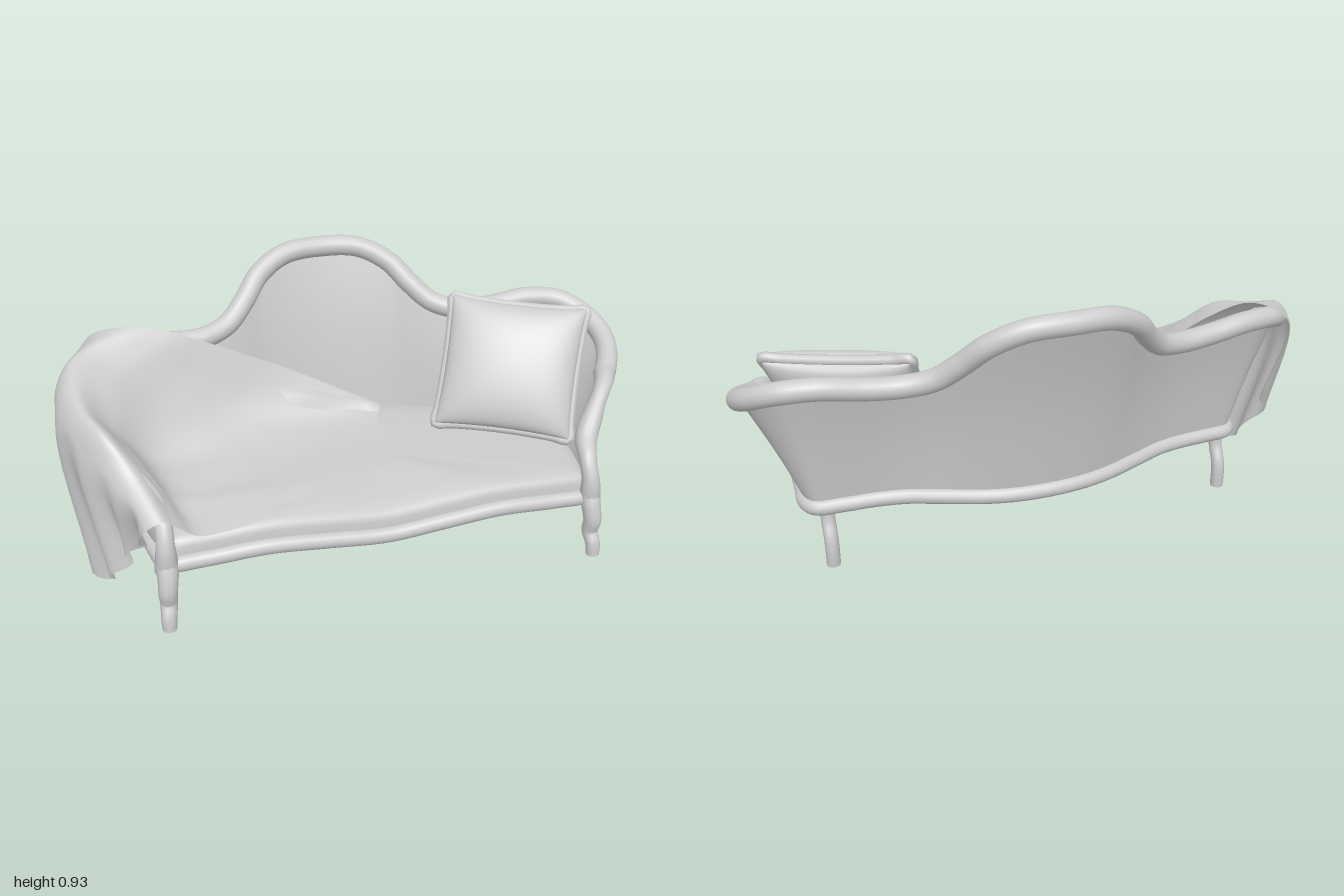
import * as THREE from 'three';
import { ParametricGeometry } from 'three/addons/geometries/ParametricGeometry.js';

const V = (p) => new THREE.Vector3(...p);
const curve = (pts, closed = false) => new THREE.CatmullRomCurve3(pts.map(V), closed, 'centripetal');
const flip = (p) => [-p[0], p[1], p[2]];
// full left-to-right path from a half that starts on the centre line
const mirrored = (half) => [...half.slice(1).reverse().map(flip), ...half];

const solid = new THREE.MeshStandardMaterial({ color: 0xcccccc });
const sheet = new THREE.MeshStandardMaterial({ color: 0xcccccc, side: THREE.DoubleSide });

// Half paths, from the centre of the back round to the arm front
const RAIL = [
  [0, 0.897, -0.45], [0.14, 0.887, -0.434], [0.245, 0.835, -0.39], [0.31, 0.765, -0.337],
  [0.385, 0.7, -0.288], [0.48, 0.675, -0.252], [0.6, 0.68, -0.237], [0.74, 0.7, -0.228],
  [0.86, 0.69, -0.195], [0.935, 0.65, -0.12], [0.96, 0.608, -0.03], [0.945, 0.575, 0.05],
  [0.89, 0.535, 0.15],
];
const POST = [
  [0.86, 0.53, 0.2], [0.8, 0.47, 0.265], [0.745, 0.395, 0.325], [0.727, 0.35, 0.385], [0.728, 0.28, 0.42],
];
const BASE = [
  [0, 0.227, -0.296], [0.13, 0.227, -0.286], [0.23, 0.227, -0.262], [0.3, 0.227, -0.236],
  [0.38, 0.226, -0.204], [0.46, 0.225, -0.172], [0.56, 0.223, -0.15], [0.68, 0.22, -0.138],
  [0.765, 0.218, -0.125], [0.79, 0.217, -0.075], [0.787, 0.217, 0], [0.782, 0.217, 0.1],
  [0.772, 0.217, 0.19], [0.765, 0.217, 0.24], [0.755, 0.217, 0.3], [0.745, 0.217, 0.35],
  [0.738, 0.217, 0.38], [0.725, 0.215, 0.405],
];
const FRONT = [[0.6, 0.217, 0.41], [0.4, 0.225, 0.411], [0.2, 0.209, 0.411]];

function add(parent, name, geometry, material) {
  const mesh = new THREE.Mesh(geometry, material);
  mesh.name = name;
  parent.add(mesh);
}

function surface(fn, nu, nv) {
  const g = new ParametricGeometry(fn, nu, nv);
  g.computeVertexNormals();
  return g;
}

// Tube whose radius follows a function of t; open paths close to a point at both ends
function tube(path, segs, radius, closed = false, sides = 16) {
  const g = new THREE.TubeGeometry(path, segs, 1, sides, closed);
  const pos = g.attributes.position, v = new THREE.Vector3();
  for (let i = 0; i < pos.count; i++) {
    const k = Math.floor(i / (sides + 1));
    const end = !closed && (k === 0 || k === segs);
    const c = path.getPointAt(k / segs);
    v.fromBufferAttribute(pos, i).sub(c).multiplyScalar(end ? 0 : radius(k / segs)).add(c);
    pos.setXYZ(i, v.x, v.y, v.z);
  }
  return g;
}

function buildFrame(sofa) {
  add(sofa, 'topRail', tube(curve(mirrored(RAIL)), 200, () => 0.038), solid);

  // Upholstered back and arm sides, stretched between base and rail
  const top = curve(mirrored([...RAIL, ...POST])), low = curve(mirrored(BASE));
  const a = new THREE.Vector3(), b = new THREE.Vector3();
  add(sofa, 'backAndSides', surface((u, v, out) => {
    low.getPoint(u, a);
    top.getPoint(u, b);
    out.lerpVectors(a, b, v);
    if (out.z < 0) out.z *= 1 - 0.045 * Math.sin(Math.PI * v);
  }, 160, 12), sheet);

  // Base rail all the way round, with a dip in the middle of the front
  const loop = [...mirrored(BASE), ...FRONT, [0, 0.193, 0.411], ...FRONT.map(flip).reverse()];
  const rim = curve(loop, true);
  add(sofa, 'baseRail', tube(rim, 240, () => 0.028, true), solid);

  // Seat and underside: rings of the base outline drawn in towards the centre
  const rings = [[0, 0.195], [0.5, 0.195], [1, 0.195], [1, 0.235], [0.99, 0.27], [0.97, 0.292],
    [0.92, 0.305], [0.75, 0.312], [0.5, 0.316], [0.25, 0.318], [0, 0.318]];
  add(sofa, 'seat', surface((u, v, out) => {
    const [s, y] = rings[Math.round(v * (rings.length - 1))];
    rim.getPoint(u % 1, a);
    const sag = (a.y - 0.217) * s;
    out.set(a.x * s, y + sag, 0.07 + (a.z - 0.07) * s);
  }, 120, rings.length - 1), sheet);
}

function buildSide(sofa, side) {
  const label = side > 0 ? 'left' : 'right';
  const place = (pts) => curve(pts.map((p) => [p[0] * side, p[1], p[2]]));

  // Carved arm front, sweeping down from the arm to the leg
  const post = place([[0.9, 0.54, 0.125], ...POST, [0.73, 0.19, 0.42]]);
  add(sofa, label + 'ArmPost', tube(post, 48, (t) => 0.034 + 0.005 * Math.cos(t * 4 * Math.PI)), solid);

  const front = place([[0.728, 0.235, 0.42], [0.73, 0.19, 0.44], [0.735, 0.14, 0.45],
    [0.735, 0.09, 0.442], [0.74, 0.05, 0.462], [0.742, 0, 0.468]]);
  add(sofa, label + 'FrontLeg', tube(front, 40, (t) => 0.036 - 0.013 * t, false, 10), solid);

  const back = place([[0.73, 0.22, -0.118], [0.73, 0.16, -0.128], [0.73, 0.11, -0.152],
    [0.73, 0.07, -0.16], [0.73, 0, -0.16]]);
  add(sofa, label + 'BackLeg', tube(back, 40, () => 0.024, false, 10), solid);
}

function buildPillow(sofa) {
  const pillow = new THREE.Group();
  pillow.name = 'pillow';
  const centre = V([0.59, 0.535, 0]);
  const along = V([0.215, -0.01, 0.108]), up = V([0.066, 0.2, -0.105]);
  const normal = along.clone().cross(up).normalize();
  const at = (x, y, n, out) => {
    // edges bow inwards so the corners stay pointed
    const px = x * (1 - 0.04 * (1 - y * y)), py = y * (1 - 0.05 * (1 - x * x));
    return out.copy(centre).addScaledVector(along, px).addScaledVector(up, py).addScaledVector(normal, n);
  };
  for (const s of [1, -1]) {
    add(pillow, s > 0 ? 'pillowFront' : 'pillowBack', surface((u, v, out) => {
      const x = Math.sin((u - 0.5) * Math.PI), y = Math.sin((v - 0.5) * Math.PI);
      at(x, y, s * (0.014 + 0.08 * Math.pow(Math.max(0, (1 - x * x) * (1 - y * y)), 0.4)), out);
    }, 28, 28), sheet);
  }
  // Padded band round the edge
  const edge = [];
  for (let k = 0; k < 4; k++) {
    for (let i = 0; i < 8; i++) {
      const t = i / 4 - 1;
      const [x, y] = [[t, -1], [1, t], [-t, 1], [-1, -t]][k];
      edge.push(at(x, y, 0, new THREE.Vector3()).toArray());
    }
  }
  add(pillow, 'pillowEdge', tube(curve(edge, true), 128, () => 0.018, true, 8), solid);
  sofa.add(pillow);
}

// Smooth sheet through a few cross-section curves, with an optional ripple rule
function drape(sections, nu, nv, ripple) {
  const across = sections.map((s) => curve(s));
  const lines = [];
  for (let i = 0; i <= nu; i++) {
    lines.push(new THREE.CatmullRomCurve3(across.map((s) => s.getPoint(i / nu)), false, 'centripetal'));
  }
  return surface((u, v, out) => {
    lines[THREE.MathUtils.clamp(Math.round(u * nu), 0, nu)].getPoint(v, out);
    ripple(u, v, out);
  }, nu, nv);
}

function buildBlanket(sofa) {
  // Sections from back to front; each runs from the outer hem over the arm to the seat edge
  const main = [
    [[-0.87, 0.42, -0.22], [-0.885, 0.7, -0.275], [-0.77, 0.765, -0.22], [-0.6, 0.725, -0.21],
      [-0.42, 0.645, -0.215], [-0.2, 0.54, -0.22], [0, 0.43, -0.205], [0.14, 0.36, -0.18]],
    [[-0.945, 0.2, -0.045], [-1, 0.61, -0.1], [-0.93, 0.71, -0.11], [-0.81, 0.65, -0.085],
      [-0.65, 0.51, -0.08], [-0.4, 0.41, -0.1], [-0.1, 0.357, -0.1], [0.12, 0.342, -0.08]],
    [[-0.93, 0.015, 0.145], [-0.995, 0.57, 0.05], [-0.93, 0.64, 0.06], [-0.83, 0.54, 0.075],
      [-0.7, 0.39, 0.07], [-0.4, 0.342, 0.06], [-0.1, 0.332, 0.04], [0.13, 0.332, 0.04]],
    [[-0.87, 0.11, 0.265], [-0.93, 0.5, 0.2], [-0.87, 0.592, 0.2], [-0.78, 0.5, 0.2],
      [-0.67, 0.365, 0.2], [-0.4, 0.332, 0.19], [-0.1, 0.33, 0.16], [0.13, 0.33, 0.155]],
    [[-0.82, 0.2, 0.29], [-0.84, 0.44, 0.32], [-0.79, 0.492, 0.3], [-0.72, 0.42, 0.29],
      [-0.65, 0.34, 0.3], [-0.45, 0.328, 0.29], [-0.25, 0.326, 0.26], [-0.03, 0.326, 0.24]],
    [[-0.785, 0.28, 0.37], [-0.78, 0.37, 0.435], [-0.73, 0.395, 0.44], [-0.68, 0.36, 0.435],
      [-0.62, 0.315, 0.425], [-0.5, 0.307, 0.405], [-0.35, 0.311, 0.365], [-0.2, 0.32, 0.31]],
  ];
  add(sofa, 'blanket', drape(main, 60, 48, (u, v, out) => {
    // hanging folds outside the arm, soft radiating folds inside
    const hang = Math.max(0, 1 - u / 0.16);
    const inner = u > 0.3 && u < 0.8 ? Math.sin((u - 0.3) * 2 * Math.PI) : 0;
    out.x += 0.024 * hang * Math.sin(v * 30);
    out.y += 0.01 * inner * Math.sin(v * 24 + u * 5) * (1 - v);
  }), sheet);

  // Corner of the blanket turned back on itself at the rear of the seat
  const fold = [
    [[-0.25, 0.5, -0.225], [-0.08, 0.45, -0.215], [0.06, 0.4, -0.2], [0.145, 0.365, -0.185]],
    [[-0.22, 0.46, -0.17], [-0.06, 0.42, -0.17], [0.07, 0.385, -0.165], [0.145, 0.362, -0.155]],
    [[-0.2, 0.42, -0.14], [-0.04, 0.375, -0.14], [0.06, 0.36, -0.135], [0.135, 0.352, -0.13]],
  ];
  add(sofa, 'blanketFold', drape(fold, 20, 12, (u, v, out) => {
    out.y += 0.006 * Math.sin(v * Math.PI) * Math.sin(u * 9);
  }), sheet);
}

export function createModel() {
  const sofa = new THREE.Group();
  sofa.name = 'sofa';
  buildFrame(sofa);
  for (const side of [1, -1]) buildSide(sofa, side);
  buildPillow(sofa);
  buildBlanket(sofa);
  return sofa;
}
